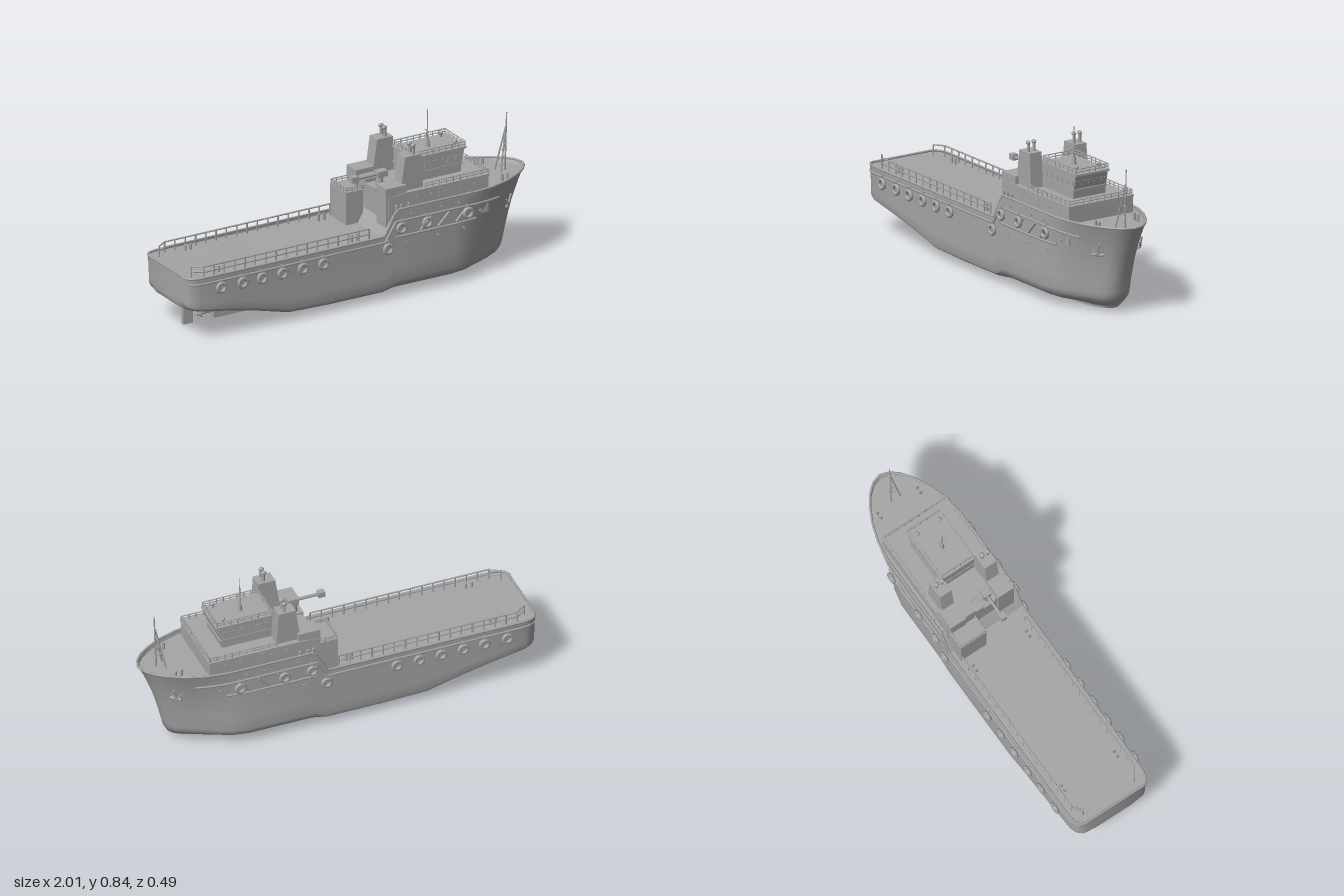
import * as THREE from 'three';
import { toCreasedNormals } from 'three/addons/utils/BufferGeometryUtils.js';

const grey = new THREE.MeshStandardMaterial({ color: 0xa6a6a6, side: THREE.DoubleSide });
grey.name = 'ship grey';
const V = (x, y, z) => new THREE.Vector3(x, y, z);

function add(parent, name, geo, x = 0, y = 0, z = 0) {
  const m = new THREE.Mesh(geo, grey);
  m.name = name;
  m.position.set(x, y, z);
  parent.add(m);
  return m;
}
function group(parent, name) {
  const g = new THREE.Group();
  g.name = name;
  parent.add(g);
  return g;
}
// box given by its limits
const box = (p, name, x0, x1, y0, y1, z0, z1) =>
  add(p, name, new THREE.BoxGeometry(x1 - x0, y1 - y0, z1 - z0), (x0 + x1) / 2, (y0 + y1) / 2, (z0 + z1) / 2);
// round bar between two points
function bar(p, name, a, b, r = 0.003, r2 = r) {
  const m = add(p, name, new THREE.CylinderGeometry(r2, r, a.distanceTo(b), 6));
  m.position.copy(a).lerp(b, 0.5);
  m.quaternion.setFromUnitVectors(V(0, 1, 0), b.clone().sub(a).normalize());
  return m;
}
// guard rail with posts along a path of points
function railing(parent, name, pts, h, step = 0.045, bars = 2, r = 0.0028) {
  const g = group(parent, name), up = k => V(0, h * k, 0);
  for (let i = 0; i + 1 < pts.length; i++) {
    const a = pts[i], b = pts[i + 1], n = Math.max(1, Math.round(a.distanceTo(b) / step));
    for (let k = 1; k <= bars; k++) bar(g, 'railBar', a.clone().add(up(k / bars)), b.clone().add(up(k / bars)), r);
    for (let k = 0; k <= n; k++) {
      const q = a.clone().lerp(b, k / n);
      bar(g, 'railPost', q, q.clone().add(up(1)), r);
    }
  }
}
// extruded side outline, centred on z
function slab(p, name, pts, z0, z1) {
  const s = new THREE.Shape(pts.map(q => new THREE.Vector2(q[0], q[1])));
  return add(p, name, new THREE.ExtrudeGeometry(s, { depth: z1 - z0, bevelEnabled: false }), 0, 0, z0);
}

// hull stations: x, keel y, top y, half-breadth at top, at middle, at keel
const stations = [
  [-1, 0.19, 0.335, 0, 0, 0], [-1, 0.19, 0.335, 0.165, 0.15, 0.1], [-0.99, 0.165, 0.335, 0.192, 0.18, 0.12],
  [-0.97, 0.15, 0.335, 0.208, 0.2, 0.13], [-0.93, 0.137, 0.335, 0.216, 0.212, 0.13], [-0.75, 0.1, 0.335, 0.217, 0.215, 0.11],
  [-0.6, 0.062, 0.335, 0.217, 0.215, 0.09], [-0.42, 0.008, 0.335, 0.217, 0.215, 0.065], [-0.2, 0, 0.335, 0.217, 0.215, 0.065],
  [0.1, 0, 0.335, 0.217, 0.215, 0.065], [0.16, 0, 0.445, 0.217, 0.215, 0.065], [0.18, 0, 0.46, 0.217, 0.215, 0.065],
  [0.5, 0, 0.46, 0.217, 0.215, 0.065], [0.62, 0, 0.46, 0.216, 0.196, 0.065], [0.72, 0.002, 0.46, 0.203, 0.158, 0.06],
  [0.82, 0.004, 0.46, 0.17, 0.118, 0.05], [0.9, 0.008, 0.46, 0.127, 0.09, 0.035], [0.95, 0.012, 0.46, 0.09, 0.072, 0.025],
  [0.985, 0.018, 0.46, 0.048, 0.043, 0.012], [1, 0.025, 0.46, 0, 0, 0]];
const stem = [[0, 0.81], [0.03, 0.845], [0.08, 0.872], [0.2, 0.9], [0.3, 0.93], [0.4, 0.97], [0.46, 1]];
const levels = [1, 0.94, 0.85, 0.75, 0.62, 0.5, 0.35, 0.2, 0.15, 0.11, 0.075, 0.025, 0];

function table(t, x, c) {
  let i = 1;
  while (i < t.length - 1 && t[i][0] < x) i++;
  const a = t[i - 1], b = t[i], k = b[0] === a[0] ? 1 : THREE.MathUtils.clamp((x - a[0]) / (b[0] - a[0]), 0, 1);
  return a[c] + (b[c] - a[c]) * k;
}
function half([, , , top, mid, keel], f) {
  if (f >= 0.2) return mid + (top - mid) * Math.pow((f - 0.2) / 0.8, 2);
  if (f <= 0.025) return keel;
  const k = (f - 0.025) / 0.175;
  return keel + (mid - keel) * Math.pow(1 - Math.pow(1 - k, 2.4), 0.8);
}
function hullPoint(s, f, sign) {
  const y = s[1] + (s[2] - s[1]) * f, t = THREE.MathUtils.clamp((s[0] - 0.5) / 0.5, 0, 1);
  return V(s[0] + t * (table(stem, y, 1) - 1), y, sign * half(s, f));
}
// hull half-breadth at a given place
function sideZ(x, y) {
  const s = [x, 1, 2, 3, 4, 5].map((c, i) => (i ? table(stations, x, i) : x));
  return half(s, Math.min(1, (y - s[1]) / (s[2] - s[1])));
}
function loft(rows) {
  const n = rows[0].length, pos = [], idx = [];
  rows.forEach(r => r.forEach(p => pos.push(p.x, p.y, p.z)));
  for (let i = 0; i + 1 < rows.length; i++) for (let j = 0; j + 1 < n; j++) {
    const a = i * n + j, c = a + n;
    idx.push(a, a + 1, c, c, a + 1, c + 1);
  }
  const g = new THREE.BufferGeometry();
  g.setAttribute('position', new THREE.Float32BufferAttribute(pos, 3));
  g.setIndex(idx);
  return toCreasedNormals(g, 0.6);
}

export function createModel() {
  const ship = new THREE.Group();
  ship.name = 'supplyShip';

  // hull, sunken deck and bulwark cap
  const ring = s => [...levels.map(f => hullPoint(s, f, 1)), ...[...levels].reverse().map(f => hullPoint(s, f, -1))];
  add(ship, 'hull', loft(stations.map(ring)));
  add(ship, 'deck', loft(stations.map(s => [hullPoint(s, 0.95, -1), hullPoint(s, 0.95, 1)])));
  for (const sign of [1, -1]) {
    const edge = stations.slice(1).map(s => hullPoint(s, 1, sign * 0.985));
    const path = new THREE.CurvePath();
    for (let i = 0; i + 1 < edge.length; i++) path.add(new THREE.LineCurve3(edge[i], edge[i + 1]));
    add(ship, 'bulwarkCap', new THREE.TubeGeometry(path, 140, 0.006, 6));
  }
  bar(ship, 'sternCap', V(-0.997, 0.335, -0.165), V(-0.997, 0.335, 0.165), 0.006);

  // underwater gear
  box(ship, 'skeg', -0.74, -0.5, 0.018, 0.12, -0.012, 0.012);
  box(ship, 'rudder', -0.91, -0.855, 0.018, 0.16, -0.01, 0.01);
  bar(ship, 'propellerShaft', V(-0.83, 0.055, 0), V(-0.72, 0.055, 0), 0.008);
  for (let i = 0; i < 4; i++) {
    const blade = add(ship, 'propellerBlade', new THREE.BoxGeometry(0.006, 0.034, 0.018).translate(0, 0.017, 0), -0.822, 0.055, 0);
    blade.rotation.set(i * Math.PI / 2, 0.5, 0, 'XYZ');
  }

  // fittings mirrored on both sides
  for (const s of [1, -1]) {
    const side = group(ship, s > 0 ? 'rightSideFittings' : 'leftSideFittings');
    const on = (x, y, out = 0.003) => V(x, y, s * (sideZ(x, y) + out));
    const strake = (...p) => { for (let i = 0; i + 1 < p.length; i++) bar(side, 'rubRail', on(...p[i]), on(...p[i + 1]), 0.0055); };
    strake([-0.985, 0.305], [-0.95, 0.305], [-0.9, 0.305], [0.1, 0.305]);
    strake([0.1, 0.305], [0.16, 0.4], [0.3, 0.4], [0.5, 0.4], [0.62, 0.395], [0.7, 0.39], [0.77, 0.385]);
    strake([0.16, 0.32], [0.4, 0.32], [0.5, 0.32], [0.62, 0.32]);
    for (const x of [0.3, 0.4, 0.5]) strake([x, 0.33], [x + 0.06, 0.39]);
    // tyre fenders on short hangers
    const tyres = [-0.83, -0.71, -0.6, -0.485, -0.37, -0.255, 0.11].map(x => [x, 0.275]).concat([0.185, 0.33, 0.56].map(x => [x, 0.368]));
    for (const [x, y] of tyres) {
      add(side, 'tyreFender', new THREE.TorusGeometry(0.022, 0.009, 8, 20), x, y, s * 0.234);
      bar(side, 'fenderHanger', V(x, y + 0.04, s * 0.208), V(x, y + 0.04, s * 0.236));
      bar(side, 'fenderHanger', V(x, y + 0.04, s * 0.236), V(x, y + 0.02, s * 0.236));
    }
    // portholes
    for (const [x, y] of [[0.22, 0.28], [0.4, 0.28], [0.55, 0.285], [0.25, 0.425], [0.42, 0.425], [0.52, 0.425], [0.65, 0.35]])
      add(side, 'porthole', new THREE.CylinderGeometry(0.008, 0.008, 0.006, 12).rotateX(Math.PI / 2), x, y, s * (sideZ(x, y) + 0.002));
    // anchor resting on the flare
    const anchor = group(side, 'anchor');
    bar(anchor, 'anchorShank', V(0.865, 0.365, s * 0.125), V(0.85, 0.31, s * 0.125), 0.006);
    bar(anchor, 'anchorFluke', V(0.85, 0.31, s * 0.125), V(0.825, 0.35, s * 0.15), 0.006, 0.003);
    bar(anchor, 'anchorFluke', V(0.85, 0.31, s * 0.125), V(0.875, 0.345, s * 0.108), 0.006, 0.003);
    bar(anchor, 'anchorCrown', V(0.83, 0.31, s * 0.14), V(0.872, 0.31, s * 0.1), 0.007);
    // working deck rails and deck fittings
    railing(side, 'workDeckRail', [V(-0.95, 0.325, s * 0.15), V(-0.9, 0.325, s * 0.184), V(0.03, 0.325, s * 0.184)], 0.055, 0.06, 2, 0.004);
    for (const x of [-0.8, -0.05, 0.82]) for (const d of [0, 0.03])
      add(side, 'bollard', new THREE.CylinderGeometry(0.007, 0.007, 0.04, 8), x + d, x > 0 ? 0.455 : 0.335, s * (x > 0 ? 0.115 : 0.155));
    for (const x of [0.17, 0.2, 0.24])
      add(side, 'deckVent', new THREE.CylinderGeometry(0.007, 0.007, 0.025, 8), x, 0.468, s * 0.207);

    // funnel casing with exhaust pipes
    const z0 = s > 0 ? 0.097 : -0.166;
    slab(side, 'funnel', [[0.2, 0.45], [0.35, 0.45], [0.335, 0.7], [0.245, 0.7], [0.225, 0.56]], z0, z0 + 0.069);
    box(side, 'funnelBase', 0.125, 0.24, 0.33, 0.565, s > 0 ? 0.095 : -0.185, s > 0 ? 0.185 : -0.095);
    for (const z of [0.117, 0.15]) {
      add(side, 'exhaustPipe', new THREE.CylinderGeometry(0.008, 0.008, 0.05, 10), 0.3, 0.722, s * z);
      const cap = add(side, 'exhaustCap', new THREE.SphereGeometry(0.0105, 10, 8), 0.298, 0.746, s * z);
      cap.scale.x = 1.4;
    }
    // searchlight on the wheelhouse roof
    add(side, 'searchlight', new THREE.SphereGeometry(0.011, 10, 8), 0.585, 0.676, s * 0.065);
    bar(side, 'searchlightPost', V(0.585, 0.65, s * 0.065), V(0.585, 0.67, s * 0.065), 0.004);
  }

  // lower deckhouse
  box(ship, 'deckhouse', 0.14, 0.7, 0.33, 0.52, -0.188, 0.188);
  box(ship, 'deckhouseRoof', 0.2, 0.705, 0.518, 0.526, -0.19, 0.19);
  railing(ship, 'deckhouseRail', [V(0.35, 0.524, 0.183), V(0.7, 0.524, 0.183), V(0.7, 0.524, -0.183), V(0.35, 0.524, -0.183)], 0.027, 0.04);
  for (const s of [1, -1]) {
    for (let i = 0; i < 5; i++)
      add(ship, 'deckhousePorthole', new THREE.CylinderGeometry(0.008, 0.008, 0.005, 12).rotateX(Math.PI / 2), 0.3 + i * 0.08, 0.49, s * 0.189);
    box(ship, 'deckhouseDoor', 0.42, 0.445, 0.462, 0.512, s * 0.1895 - 0.002, s * 0.1895 + 0.002);
  }

  // wheelhouse with outward sloping front
  const wheelhouse = group(ship, 'wheelhouse');
  slab(wheelhouse, 'wheelhouseBody', [[0.335, 0.52], [0.6, 0.52], [0.605, 0.57], [0.622, 0.645], [0.335, 0.645]], -0.094, 0.094);
  box(wheelhouse, 'wheelhouseRoof', 0.33, 0.632, 0.643, 0.653, -0.098, 0.098);
  box(wheelhouse, 'windowSill', 0.332, 0.612, 0.568, 0.574, -0.097, 0.097);
  railing(wheelhouse, 'roofRail', [V(0.34, 0.652, 0.093), V(0.625, 0.652, 0.093), V(0.625, 0.652, -0.093), V(0.34, 0.652, -0.093), V(0.34, 0.652, 0.093)], 0.027, 0.035);
  for (let i = 0; i < 6; i++) for (const s of [1, -1])
    box(wheelhouse, 'sideWindow', 0.355 + i * 0.043, 0.385 + i * 0.043, 0.59, 0.616, s * 0.0945 - 0.002, s * 0.0945 + 0.002);
  for (let i = -2; i <= 2; i++) {
    const w = add(wheelhouse, 'frontWindow', new THREE.BoxGeometry(0.005, 0.025, 0.029), 0.6125, 0.603, i * 0.038);
    w.rotation.z = -0.22;
  }

  // main mast
  const mast = group(ship, 'mainMast');
  add(mast, 'mastFoot', new THREE.CylinderGeometry(0.008, 0.013, 0.04, 10), 0.47, 0.67, 0);
  bar(mast, 'mastPole', V(0.47, 0.65, 0), V(0.47, 0.845, 0), 0.005, 0.0015);
  bar(mast, 'mastYard', V(0.47, 0.733, -0.025), V(0.47, 0.733, 0.025), 0.002);

  // tripod foremast on the bow
  const fore = group(ship, 'foremast');
  for (const s of [1, -1]) bar(fore, 'foremastLeg', V(0.865, 0.435, s * 0.028), V(0.91, 0.66, 0), 0.004);
  bar(fore, 'foremastPole', V(0.905, 0.435, 0), V(0.916, 0.735, 0), 0.005, 0.003);
  for (const k of [0.3, 0.5, 0.7]) {
    const x = 0.865 + 0.045 * k, y = 0.435 + 0.225 * k, z = 0.028 * (1 - k);
    bar(fore, 'foremastRung', V(x, y, -z), V(x, y, z), 0.0025);
    bar(fore, 'foremastBrace', V(x, y, 0), V(0.905 + 0.008 * k, y, 0), 0.0025);
  }

  // winch house behind the funnels, with a railed top
  box(ship, 'winchHouse', 0.035, 0.13, 0.31, 0.487, -0.187, -0.037);
  railing(ship, 'winchHouseRail', [V(0.13, 0.487, -0.184), V(0.038, 0.487, -0.184), V(0.038, 0.487, -0.04), V(0.13, 0.487, -0.04)], 0.022, 0.03);
  box(ship, 'middleBlock', 0.14, 0.24, 0.5, 0.54, -0.1, -0.03);

  // deck crane
  const crane = group(ship, 'deckCrane');
  box(crane, 'cranePlinth', 0.13, 0.215, 0.5, 0.53, 0.02, 0.08);
  add(crane, 'cranePedestal', new THREE.CylinderGeometry(0.016, 0.02, 0.07, 12), 0.17, 0.555, 0.05);
  box(crane, 'craneHousing', 0.15, 0.205, 0.578, 0.608, 0.03, 0.07);
  bar(crane, 'craneBoom', V(0.16, 0.592, 0.05), V(0.04, 0.592, 0.05), 0.008);
  box(crane, 'craneHead', 0.01, 0.045, 0.577, 0.607, 0.035, 0.065);
  return ship;
}
